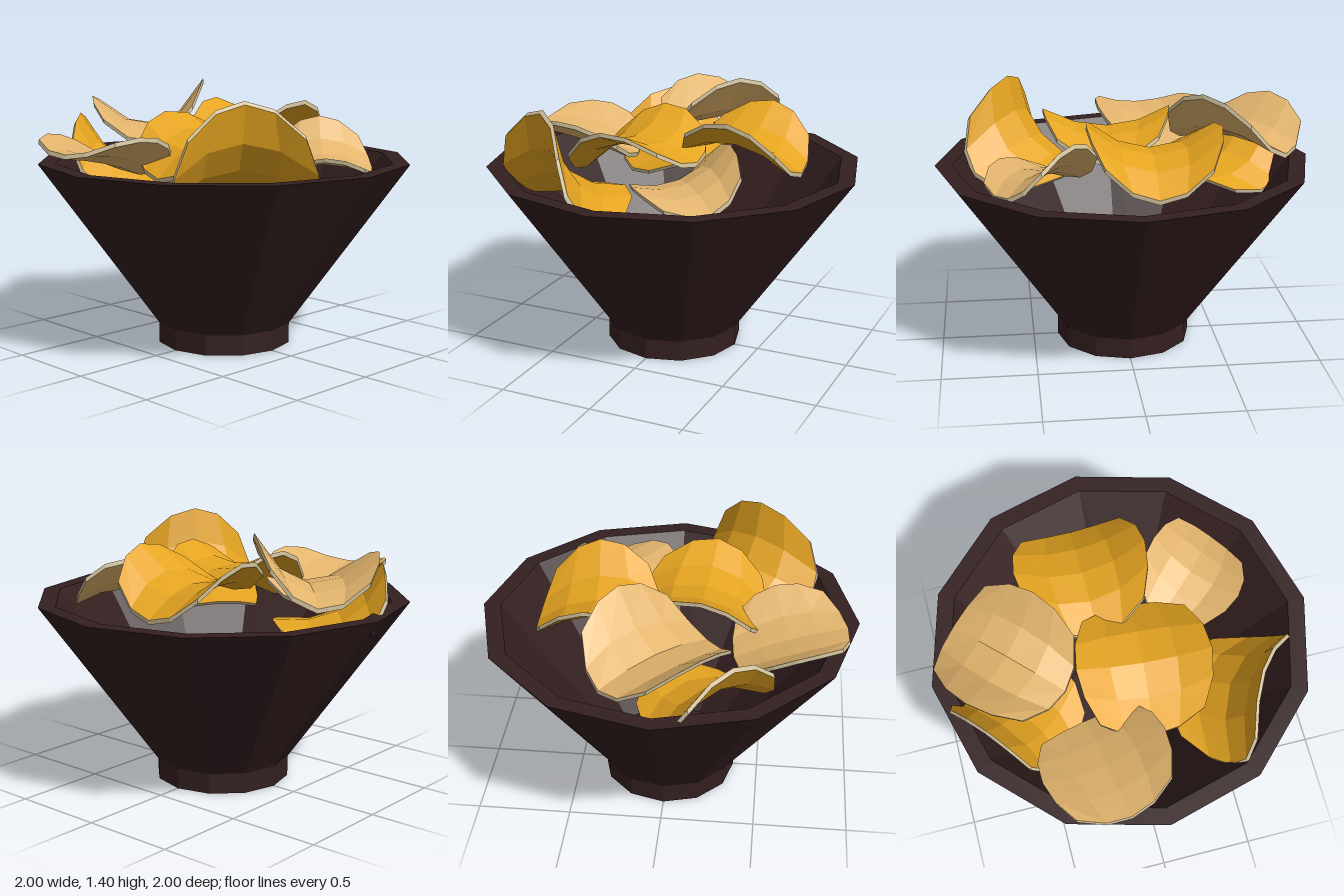
import * as THREE from 'three';

const bowlMat = new THREE.MeshStandardMaterial({ color: 0x341f20 });
bowlMat.name = 'dark wood';
const orange = new THREE.MeshStandardMaterial({ color: 0xe5a420 });
orange.name = 'golden chip';
const tan = new THREE.MeshStandardMaterial({ color: 0xe2b46d });
tan.name = 'pale chip';
const rimMat = new THREE.MeshStandardMaterial({ color: 0xd6c6a0 });
rimMat.name = 'chip edge';

const deg = Math.PI / 180;
const N = 4; // facets across a chip
const T = 0.024; // chip thickness

// Faceted normals
function flat(geo) {
  const g = geo.index ? geo.toNonIndexed() : geo;
  g.computeVertexNormals();
  return g;
}

// Saddle-shaped rounded square: rises by `rise` at the x ends, drops by `drop` at the z ends
function chipGeometry(hx, hz, rise, drop) {
  const k = 0.4;
  const point = (i, j, y) => {
    const u = (i / N) * 2 - 1, v = (j / N) * 2 - 1;
    const a = u * Math.sqrt(1 - k * v * v), b = v * Math.sqrt(1 - k * u * u);
    return [a * hx, rise * a * a - drop * b * b + y, b * hz];
  };
  const pos = [];
  const quad = (a, b, c, d) => pos.push(...a, ...b, ...c, ...a, ...c, ...d);
  // Upper and lower faces
  for (let i = 0; i < N; i++) {
    for (let j = 0; j < N; j++) {
      const face = (y) => [point(i, j, y), point(i, j + 1, y), point(i + 1, j + 1, y), point(i + 1, j, y)];
      quad(...face(T / 2));
      quad(...face(-T / 2).reverse());
    }
  }
  const faceCount = pos.length / 3;
  // Edge band around the outline
  const ring = [];
  for (let i = 0; i < N; i++) ring.push([i, N]);
  for (let i = N; i > 0; i--) ring.push([N, i]);
  for (let i = N; i > 0; i--) ring.push([i, 0]);
  for (let i = 0; i < N; i++) ring.push([0, i]);
  ring.forEach((p, n) => {
    const q = ring[(n + 1) % ring.length];
    quad(point(...p, -T / 2), point(...q, -T / 2), point(...q, T / 2), point(...p, T / 2));
  });
  const geo = new THREE.BufferGeometry();
  geo.setAttribute('position', new THREE.Float32BufferAttribute(pos, 3));
  geo.addGroup(0, faceCount, 0);
  geo.addGroup(faceCount, pos.length / 3 - faceCount, 1);
  return flat(geo);
}

export function createModel() {
  const model = new THREE.Group();
  model.name = 'bowlOfChips';

  // Twelve-sided hollow bowl with a short foot
  const profile = [[0, 0], [0.365, 0], [0.365, 0.11], [1, 1], [0.91, 1], [0.3, 0.16], [0, 0.16]]
    .map(([r, y]) => new THREE.Vector2(r, y));
  const bowl = new THREE.Mesh(flat(new THREE.LatheGeometry(profile, 12)), bowlMat);
  bowl.name = 'bowl';
  model.add(bowl);

  // Chips: at = centre, yaw / pitch / roll in degrees, half sizes, rise and drop
  const chips = [
    { name: 'backChip', mat: orange, at: [-0.11, 1.12, -0.37], yaw: 0, pitch: 2, roll: -7, hx: 0.345, hz: 0.325, rise: 0.16, drop: 0.1 },
    { name: 'middleChip', mat: orange, at: [0.07, 1.13, 0.19], yaw: -4, pitch: -1, roll: 8, hx: 0.345, hz: 0.35, rise: 0.1, drop: 0.15 },
    { name: 'leftLeaningChip', mat: orange, at: [0.49, 1.03, 0.38], yaw: -33, pitch: 45, roll: 0, hx: 0.33, hz: 0.37, rise: 0.14, drop: 0.18 },
    { name: 'rightLeaningChip', mat: orange, at: [-0.6, 0.95, 0.23], yaw: 220, pitch: 28, roll: 0, hx: 0.32, hz: 0.33, rise: 0.12, drop: 0.12 },
    { name: 'rightTopChip', mat: tan, at: [-0.59, 1.13, -0.015], yaw: 45, pitch: 9, roll: 0, hx: 0.32, hz: 0.34, rise: 0.21, drop: 0.06 },
    { name: 'backLeftChip', mat: tan, at: [0.45, 1.03, -0.28], yaw: 135, pitch: 18, roll: 0, hx: 0.27, hz: 0.27, rise: 0.1, drop: 0.08 },
    { name: 'frontChip', mat: tan, at: [-0.23, 1.02, 0.64], yaw: 10, pitch: 2, roll: -14, hx: 0.33, hz: 0.3, rise: 0.12, drop: 0.02 },
  ];
  for (const c of chips) {
    const chip = new THREE.Mesh(chipGeometry(c.hx, c.hz, c.rise, c.drop), [c.mat, rimMat]);
    chip.name = c.name;
    chip.position.set(...c.at);
    chip.rotation.set(c.roll * deg, c.yaw * deg, c.pitch * deg, 'YXZ');
    model.add(chip);
  }
  return model;
}
